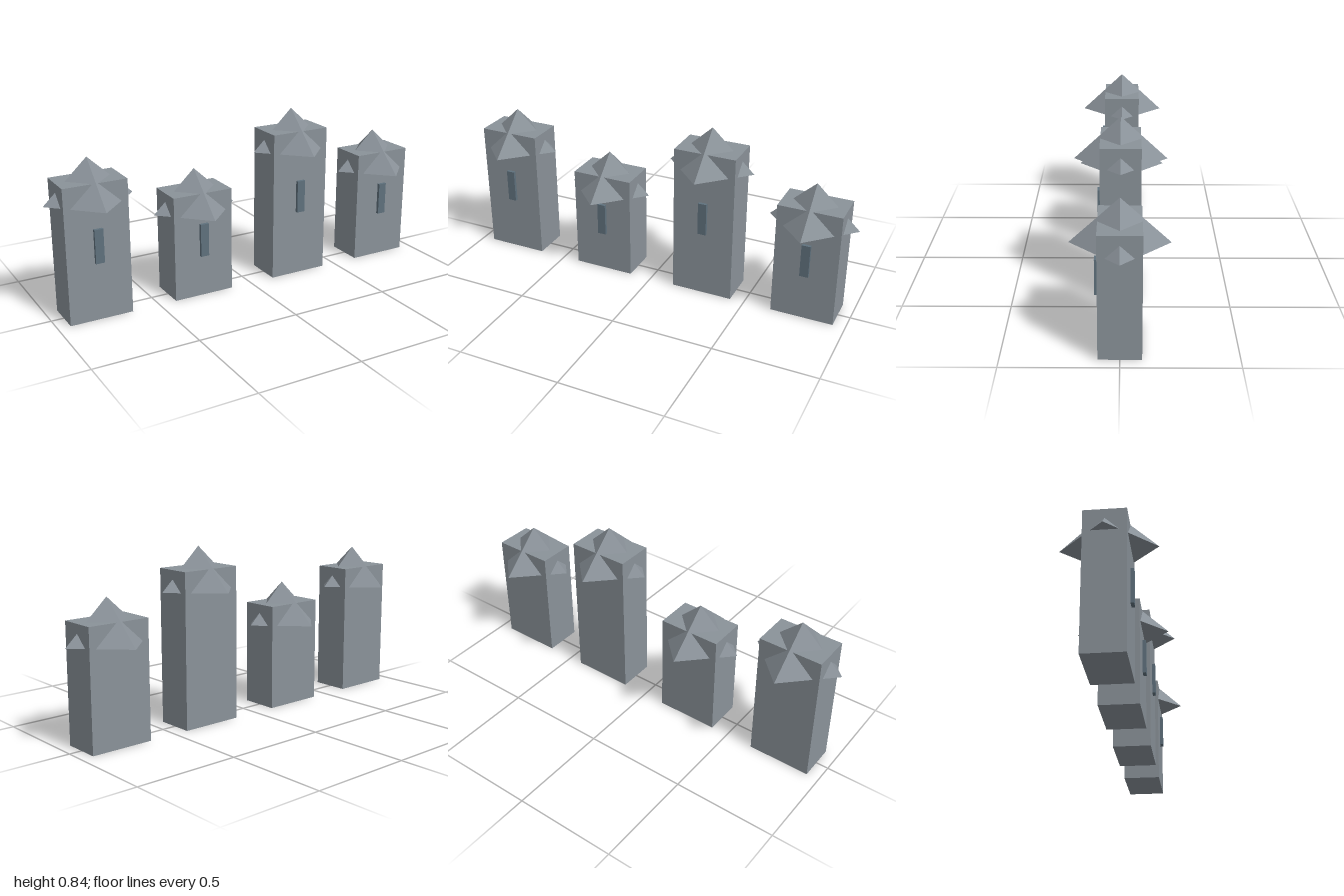
import * as THREE from 'three';

export function createModel() {
  const stone = new THREE.MeshStandardMaterial({ color: 0x8a9299, flatShading: true });
  stone.name = 'grey stone';
  const slate = new THREE.MeshStandardMaterial({ color: 0x5f717d, flatShading: true });
  slate.name = 'blue slate';

  const WIDTH = 0.304, DEPTH = 0.185, ROOF_RADIUS = 0.212, ROOF_HEIGHT = 0.198;
  // centre x and wall height of each tower
  const towers = [[-0.788, 0.65], [-0.262, 0.515], [0.278, 0.741], [0.788, 0.563]];

  const model = new THREE.Group();
  model.name = 'towerRow';

  function add(parent, name, geometry, material, y, z = 0) {
    const mesh = new THREE.Mesh(geometry, material);
    mesh.name = name;
    mesh.position.set(0, y, z);
    parent.add(mesh);
  }

  towers.forEach(([x, height], i) => {
    const tower = new THREE.Group();
    tower.name = `tower${i + 1}`;
    tower.position.x = x;

    // rectangular shaft
    add(tower, 'walls', new THREE.BoxGeometry(WIDTH, height, DEPTH), stone, height / 2);
    // four-sided roof, its corners poking out through the walls
    add(tower, 'roof', new THREE.ConeGeometry(ROOF_RADIUS, ROOF_HEIGHT, 4), stone, height);
    // narrow raised window on the front
    add(tower, 'window', new THREE.BoxGeometry(0.042, 0.162, 0.03), slate, height * 0.555, DEPTH / 2);

    model.add(tower);
  });

  return model;
}
